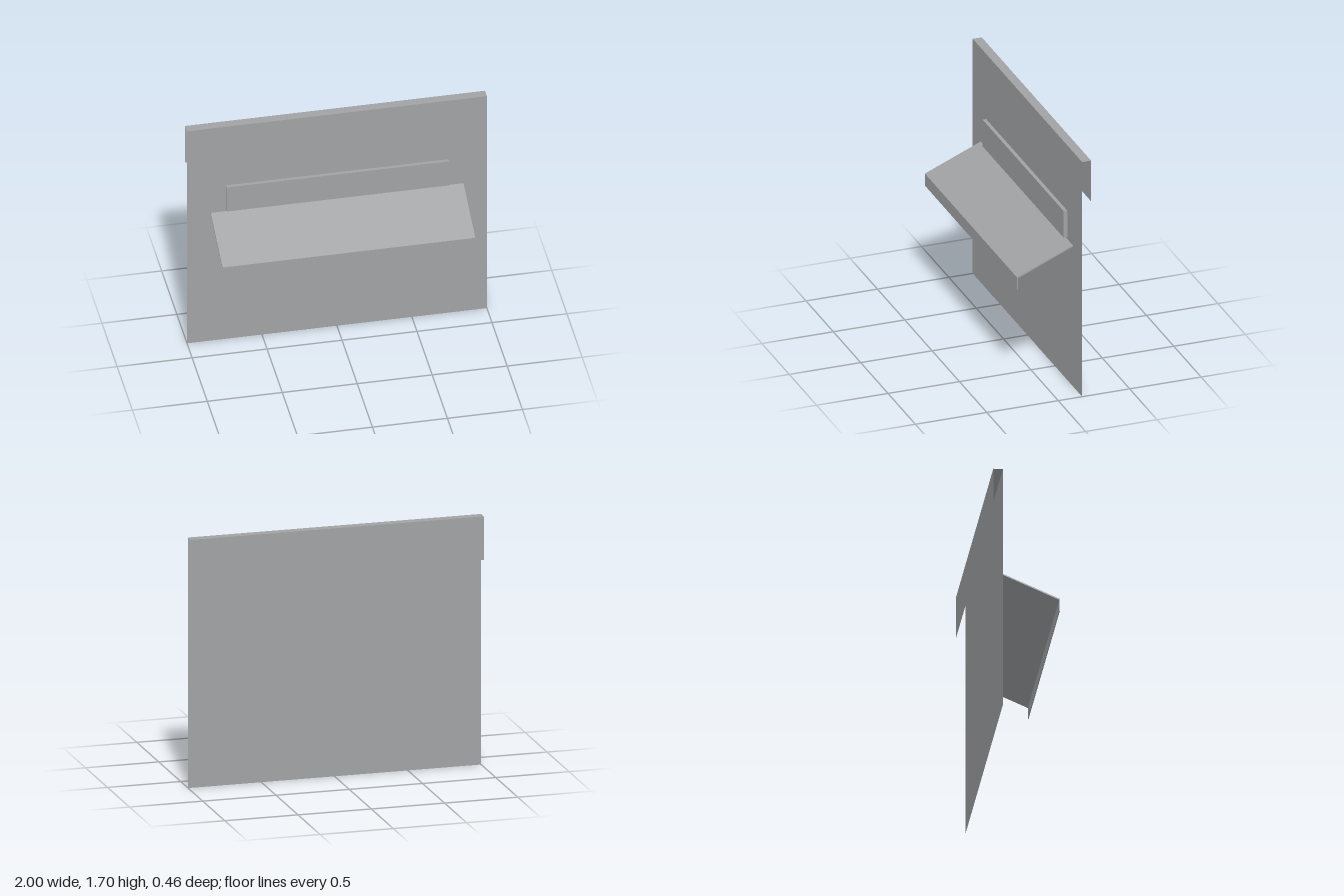
import * as THREE from 'three';

export function createModel() {
  const model = new THREE.Group();
  const grey = new THREE.MeshStandardMaterial({ color: 0xa0a2a4, side: THREE.DoubleSide });
  grey.name = 'grey metal';

  const add = (name, geometry, x, y, z, parent = model) => {
    const mesh = new THREE.Mesh(geometry, grey);
    mesh.name = name;
    mesh.position.set(x, y, z);
    parent.add(mesh);
    return mesh;
  };

  // Thin sheet folded over at the top: front panel, top strip, rear flap
  const height = 1.7, frontZ = -0.167, backZ = -0.23, flap = 0.295;
  const sheet = new THREE.Group();
  sheet.name = 'foldedSheet';
  model.add(sheet);
  add('frontPanel', new THREE.PlaneGeometry(2, height), 0, height / 2, frontZ, sheet);
  add('topStrip', new THREE.PlaneGeometry(2, frontZ - backZ).rotateX(-Math.PI / 2),
    0, height, (frontZ + backZ) / 2, sheet);
  add('rearFlap', new THREE.PlaneGeometry(2, flap).rotateY(Math.PI), 0, height - flap / 2, backZ, sheet);

  // Mounting bar above the shelf
  add('mountingBar', new THREE.BoxGeometry(1.484, 0.193, 0.025), 0, 1.138, -0.1495);

  // Sloping shelf with a folded-down lip, drawn as a side profile (z, y) and swept along x
  const width = 1.686;
  const profile = new THREE.Shape([
    [-0.163, 1.027], [-0.163, 1.018], [0.223, 0.853],
    [0.223, 0.774], [0.228, 0.774], [0.228, 0.861],
  ].map(([z, y]) => new THREE.Vector2(z, y)));
  const shelf = new THREE.ExtrudeGeometry(profile, { depth: width, bevelEnabled: false });
  shelf.translate(0, 0, -width / 2).rotateY(-Math.PI / 2);
  add('slopingShelf', shelf, 0, 0, 0);

  return model;
}
